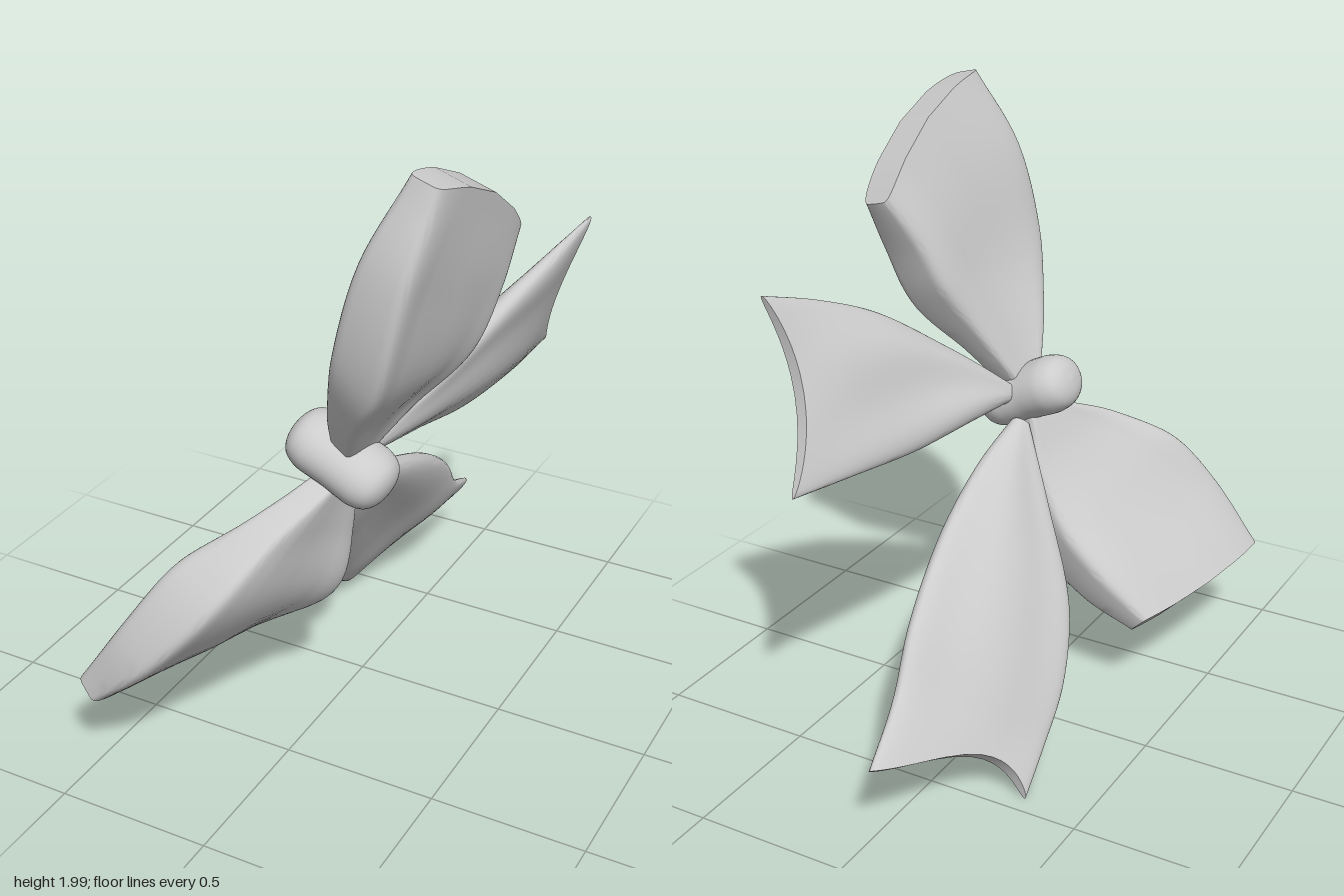
import * as THREE from 'three';
import { toCreasedNormals } from 'three/addons/utils/BufferGeometryUtils.js';

const material = new THREE.MeshStandardMaterial({ color: 0xcccccc, side: THREE.DoubleSide });
const power = (v, e) => Math.sign(v) * Math.pow(Math.abs(v), e);

// Padded cloth lofted through sections [edge A, edge B, thickness].
// boxy: below 1 squares off the edges; pinch: thins the middle of the faces;
// bulge: pushes the end edge out (+) or notches it (-); skew: moves the bulge toward edge B.
function cloth(name, sections, { boxy, pinch = 0, bulge, skew = 0, phase }) {
  const rows = 28, around = 48;
  const edgeA = new THREE.CatmullRomCurve3(sections.map(s => new THREE.Vector3(...s[0])));
  const edgeB = new THREE.CatmullRomCurve3(sections.map(s => new THREE.Vector3(...s[1])));
  const depth = new THREE.CatmullRomCurve3(sections.map((s, i) => new THREE.Vector3(i, s[2], 0)));
  const middle = t => edgeA.getPoint(t).add(edgeB.getPoint(t)).multiplyScalar(0.5);
  const points = [], index = [];

  for (let i = 0; i <= rows; i++) {
    const t = i / rows;
    const half = edgeA.getPoint(t).sub(edgeB.getPoint(t)).multiplyScalar(0.5);
    const flow = middle(Math.min(1, t + 0.02)).sub(middle(Math.max(0, t - 0.02))).normalize();
    const normal = flow.clone().cross(half).normalize();
    const thick = depth.getPoint(t).y / 2;
    for (let k = 0; k < around; k++) {
      const a = (k / around) * Math.PI * 2;
      const u = power(Math.cos(a), boxy), w = power(Math.sin(a), boxy);
      const waist = 1 - pinch * (1 - u * u) * Math.sin(Math.PI * t);
      // soft folds running along the cloth, fading toward both ends
      const fold = 0.008 * Math.sin(5 * u + 3 * t + phase) * Math.sin(Math.PI * t);
      points.push(...middle(t)
        .addScaledVector(half, u)
        .addScaledVector(normal, w * thick * waist + fold)
        .addScaledVector(flow, bulge * (1 - u * u) * (1 - skew * u) * t ** 3).toArray());
    }
  }
  for (let i = 0; i < rows; i++) {
    for (let k = 0; k < around; k++) {
      const a = i * around + k, b = i * around + (k + 1) % around;
      index.push(a, b, a + around, b, b + around, a + around);
    }
  }
  // End strip joining the two faces
  const last = rows * around;
  for (let k = 0; k < around / 2; k++) {
    const a = last + k, b = a + 1, c = last + around - k - 1, d = last + (around - k) % around;
    index.push(a, b, c);
    if (k > 0) index.push(a, c, d);
  }
  const geometry = new THREE.BufferGeometry();
  geometry.setAttribute('position', new THREE.Float32BufferAttribute(points, 3));
  geometry.setIndex(index);
  const mesh = new THREE.Mesh(toCreasedNormals(geometry, 0.8), material);
  mesh.name = name;
  return mesh;
}

// Knot: two soft lobes with a shallow waist
function knot() {
  const profile = [[0, -0.174], [0.045, -0.166], [0.078, -0.142], [0.093, -0.1], [0.094, -0.055], [0.092, 0],
    [0.094, 0.055], [0.093, 0.1], [0.078, 0.142], [0.045, 0.166], [0, 0.174]].map(p => new THREE.Vector2(...p));
  const smooth = new THREE.SplineCurve(profile).getPoints(40);
  smooth.forEach(p => { p.x = Math.max(0, p.x); });
  const mesh = new THREE.Mesh(new THREE.LatheGeometry(smooth, 32), material);
  mesh.name = 'knot';
  mesh.scale.z = 1.23;
  mesh.rotation.z = -2.02;
  mesh.position.set(0.105, 1.01, 0.325);
  return mesh;
}

export function createModel() {
  const group = new THREE.Group();
  group.name = 'ribbonBow';
  group.add(knot());

  group.add(cloth('upperLoop', [
    [[0.12, 1.06, 0.38], [0.14, 1.04, 0.26], 0.08],
    [[0.19, 1.22, 0.50], [0.23, 1.20, 0.17], 0.13],
    [[0.28, 1.42, 0.60], [0.34, 1.37, 0.07], 0.21],
    [[0.36, 1.74, 0.60], [0.40, 1.53, 0.02], 0.20],
    [[0.445, 1.99, 0.51], [0.445, 1.69, -0.045], 0.12],
  ], { boxy: 0.32, pinch: 0.25, bulge: 0.06, phase: 0 }));

  group.add(cloth('lowerLoop', [
    [[0.08, 0.96, 0.39], [0.10, 0.94, 0.27], 0.08],
    [[-0.02, 0.86, 0.60], [0.05, 0.75, 0.23], 0.14],
    [[-0.15, 0.72, 0.77], [-0.03, 0.55, 0.21], 0.24],
    [[-0.31, 0.52, 0.865], [-0.19, 0.40, 0.21], 0.20],
    [[-0.48, 0.33, 0.88], [-0.345, 0.29, 0.24], 0.11],
  ], { boxy: 0.32, pinch: 0.25, bulge: 0.02, phase: 2 }));

  group.add(cloth('upperTail', [
    [[0.14, 1.05, 0.25], [0.13, 1.00, 0.25], 0.06],
    [[0.28, 1.21, 0.08], [0.17, 0.99, 0.03], 0.10],
    [[0.39, 1.38, -0.14], [0.23, 0.97, -0.20], 0.11],
    [[0.46, 1.475, -0.35], [0.28, 0.985, -0.47], 0.09],
    [[0.51, 1.54, -0.55], [0.31, 1.01, -0.72], 0.04],
  ], { boxy: 0.8, bulge: -0.09, phase: 1 }));

  group.add(cloth('lowerTail', [
    [[0.12, 0.94, 0.23], [0.08, 0.91, 0.26], 0.06],
    [[0.125, 0.86, 0.02], [-0.04, 0.67, 0.17], 0.09],
    [[0.105, 0.74, -0.24], [-0.19, 0.42, 0.03], 0.11],
    [[0.06, 0.56, -0.51], [-0.26, 0.24, -0.13], 0.10],
    [[0.02, 0.40, -0.67], [-0.285, 0.11, -0.30], 0.08],
    [[-0.03, 0.29, -0.88], [-0.30, 0.015, -0.44], 0.05],
  ], { boxy: 0.75, bulge: -0.10, skew: 0.7, phase: 3 }));

  return group;
}
